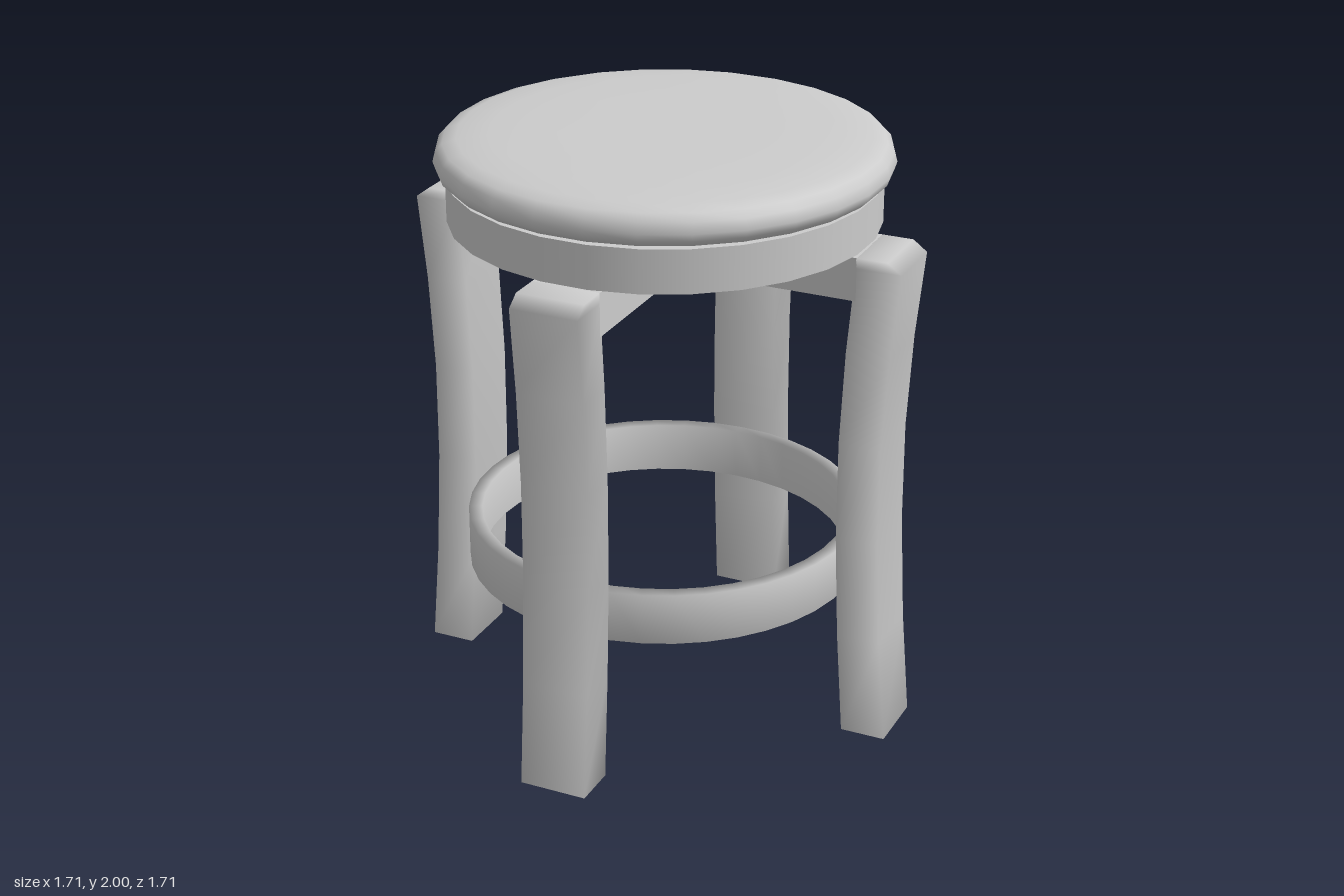
import * as THREE from 'three';
import { mergeVertices } from 'three/addons/utils/BufferGeometryUtils.js';

const TURN = THREE.MathUtils.degToRad(18.5); // twist of the four legs about the seat
const SIDES = 28;

const material = new THREE.MeshStandardMaterial({ color: 0xcccccc });

function part(name, geometry, parent) {
  const mesh = new THREE.Mesh(geometry, material);
  mesh.name = name;
  parent.add(mesh);
  return mesh;
}

const lathe = (points, sides) =>
  new THREE.LatheGeometry(points.map(([r, y]) => new THREE.Vector2(r, y)), sides);

// Bowed leg: each row gives height, inner radius and outer radius
function legGeometry() {
  const rows = [
    [0, 0.71, 0.863], [0.36, 0.685, 0.833], [0.72, 0.67, 0.815], [1.06, 0.67, 0.814],
    [1.38, 0.685, 0.832], [1.67, 0.71, 0.862], [1.705, 0.71, 0.815],
  ];
  const steps = rows.length - 1;
  const box = new THREE.BoxGeometry(1, 1, 0.23, 1, steps, 1);
  const pos = box.attributes.position;
  for (let i = 0; i < pos.count; i++) {
    const [y, inner, outer] = rows[Math.round((pos.getY(i) + 0.5) * steps)];
    pos.setX(i, pos.getX(i) > 0 ? outer : inner);
    pos.setY(i, y);
  }
  // Weld the corners for softly shaded edges
  box.deleteAttribute('normal');
  box.deleteAttribute('uv');
  const leg = mergeVertices(box);
  leg.computeVertexNormals();
  return leg;
}

// Cross-shaped brace under the seat
function braceGeometry() {
  const a = 0.115, r = 0.712;
  const outline = [];
  for (let k = 0; k < 4; k++) {
    for (const [x, y] of [[a, -a], [r, -a], [r, a]]) {
      const p = new THREE.Vector2(x, y);
      outline.push(p.rotateAround(new THREE.Vector2(), k * Math.PI / 2));
    }
  }
  return new THREE.ExtrudeGeometry(new THREE.Shape(outline), { depth: 0.145, bevelEnabled: false })
    .rotateX(-Math.PI / 2);
}

export function createModel() {
  const stool = new THREE.Group();
  stool.name = 'stool';

  // Padded seat with a rounded rim
  part('seatCushion', lathe([
    [0, 1.86], [0.66, 1.86], [0.715, 1.863], [0.738, 1.885], [0.746, 1.91],
    [0.737, 1.945], [0.715, 1.968], [0.67, 1.983], [0.56, 1.994], [0.35, 1.999], [0, 2],
  ], SIDES), stool);

  // Narrow neck and the apron below the cushion
  part('seatNeck', new THREE.CylinderGeometry(0.68, 0.68, 0.03, SIDES), stool).position.y = 1.855;
  part('seatApron', new THREE.CylinderGeometry(0.708, 0.708, 0.145, SIDES), stool).position.y = 1.7775;

  // Cross brace joining the legs
  const brace = part('crossBrace', braceGeometry(), stool);
  brace.position.y = 1.56;
  brace.rotation.y = -TURN;

  // Four legs
  const leg = legGeometry();
  for (let k = 0; k < 4; k++) {
    part('leg' + (k + 1), leg, stool).rotation.y = -TURN - k * Math.PI / 2;
  }

  // Foot ring
  part('footRing', lathe([
    [0.622, 0.48], [0.668, 0.48], [0.668, 0.655], [0.622, 0.655], [0.622, 0.48],
  ], 40), stool);

  return stool;
}
